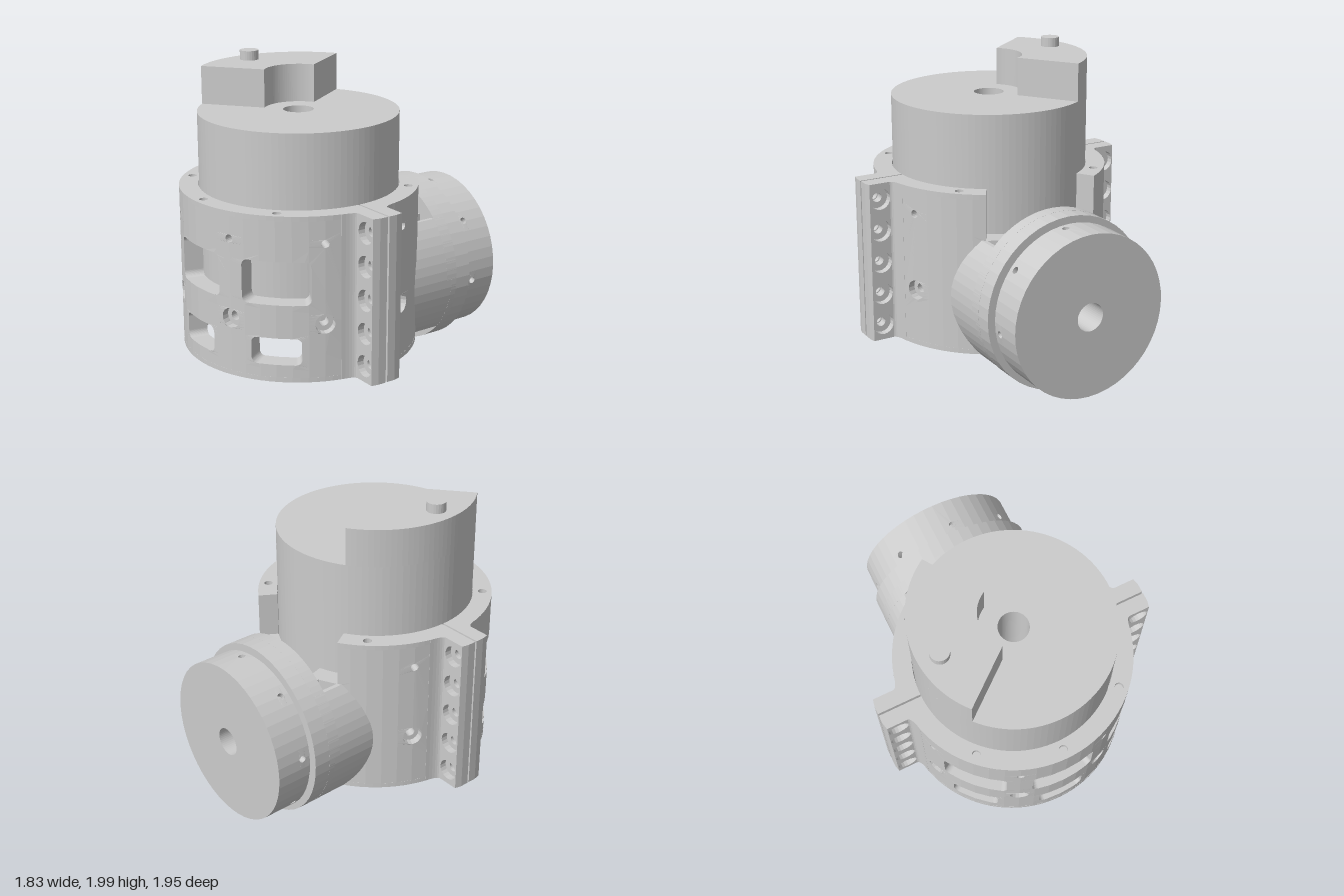
import * as THREE from 'three';

const grey = new THREE.MeshStandardMaterial({ color: 0xcccccc, flatShading: true });
const SEG = 48, STEP = (Math.PI * 2) / SEG, RAD = Math.PI / 180;
const C = 0.225;              // z of the vertical axis
const BY = 0.57;              // height of the horizontal axis

function add(parent, name, geometry) {
  const m = new THREE.Mesh(geometry, grey);
  m.name = name;
  parent.add(m);
  return m;
}

const circle = (x, y, r) => new THREE.Path().absarc(x, y, r, 0, Math.PI * 2);

function disc(r, holes = [], a0 = 0, a1 = Math.PI * 2, cy = 0) {
  const s = new THREE.Shape().absarc(0, cy, r, a0, a1);
  s.holes.push(...holes);
  return s;
}

function roundRect(cx, cy, w, h, r) {
  const p = new THREE.Path(), x = w / 2 - r, y = h / 2 - r;
  p.absarc(cx + x, cy + y, r, 0, Math.PI / 2);
  p.absarc(cx - x, cy + y, r, Math.PI / 2, Math.PI);
  p.absarc(cx - x, cy - y, r, Math.PI, Math.PI * 1.5);
  p.absarc(cx + x, cy - y, r, Math.PI * 1.5, Math.PI * 2);
  return p.closePath();
}

// Extrude along z between two depths
function slab(shape, z0, z1, curveSegments = SEG / 2) {
  return new THREE.ExtrudeGeometry(shape, { depth: z1 - z0, bevelEnabled: false, curveSegments })
    .translate(0, 0, z0);
}

// Extrude a plan outline (x, z) between two heights
function plan(shape, y0, y1, seg = SEG) {
  return slab(shape, 0, y1 - y0, seg).rotateX(Math.PI / 2).translate(0, y1, 0);
}

// Part of a ring seen in plan, with vertical bolt holes
function arcPlate(a0, a1, holeAngles) {
  const s = new THREE.Shape();
  s.absarc(0, 0, 0.75, a0, a1, false);
  s.absarc(0, 0, 0.63, a1, a0, true);
  for (const a of holeAngles) s.holes.push(circle(0.69 * Math.cos(a * RAD), 0.69 * Math.sin(a * RAD), 0.027));
  return s;
}

// Keep the part of a polygon where sign * (x - limit) >= 0
function clip(poly, limit, sign) {
  const out = [];
  poly.forEach((p, i) => {
    const q = poly[(i + 1) % poly.length];
    const dp = sign * (p.x - limit), dq = sign * (q.x - limit);
    if (dp >= 0) out.push(p);
    if ((dp > 0 && dq < 0) || (dp < 0 && dq > 0)) out.push(p.clone().lerp(q, dp / (dp - dq)));
  });
  return out;
}

// Slice a flat pierced wall into strips and roll it round the y axis
function bend(shape, R, t) {
  const pos = slab(shape, 0, t, 8).getAttribute('position'), out = [], du = STEP * R;
  for (let i = 0; i < pos.count; i += 3) {
    const tri = [0, 1, 2].map(k => new THREE.Vector3().fromBufferAttribute(pos, i + k));
    const xs = tri.map(p => p.x);
    const k0 = Math.floor(Math.min(...xs) / du + 1e-6);
    const k1 = Math.max(k0 + 1, Math.ceil(Math.max(...xs) / du - 1e-6));
    for (let k = k0; k < k1; k++) {
      let poly = k > k0 ? clip(tri, k * du, 1) : tri;
      if (k < k1 - 1) poly = clip(poly, (k + 1) * du, -1);
      for (let j = 1; j < poly.length - 1; j++)
        for (const p of [poly[0], poly[j], poly[j + 1]]) {
          const a = p.x / R, r = R - t + p.z;
          out.push(r * Math.sin(a), p.y, r * Math.cos(a));
        }
    }
  }
  const g = new THREE.BufferGeometry();
  g.setAttribute('position', new THREE.Float32BufferAttribute(out, 3));
  g.computeVertexNormals();
  return g;
}

function clampWall(back) {
  const R = 0.75, e = (Math.PI / 2 - 0.009) * R, lo = 0.23, hi = 1.21;
  const n = Math.asin(0.39 / R) * R, w = Math.asin(0.21 / R) * R;
  const outline = back
    ? [[-e, lo], [e, lo], [e, hi], [n, hi], [n, 0.95], [w, 0.95], [w, 0.69], [-w, 0.69], [-w, 0.95], [-n, 0.95], [-n, hi], [-e, hi]]
    : [[-e, lo], [e, lo], [e, hi], [-e, hi]];
  const s = new THREE.Shape(outline.map(p => new THREE.Vector2(...p)));
  for (const a of back ? [-67.5, 67.5] : [-67.5, -22.5, 22.5, 67.5])
    s.holes.push(circle(a * RAD * R, 1.07, 0.025), circle(a * RAD * R, BY, 0.062));
  if (!back) for (const a of [-45, 0, 45]) {
    s.holes.push(roundRect(a * RAD * R, 0.825, 2 * w, 0.27, 0.04));
    s.holes.push(roundRect(a * RAD * R, 0.395, 0.313, 0.17, 0.04));
  }
  const g = bend(s, R, 0.12);
  return back ? g.rotateY(Math.PI) : g;
}

// Bolted ear with counterbores, centred on its own mid height
function makeEar() {
  const ear = new THREE.Group();
  ear.name = 'clampEar';
  const layer = (r, z0, z1) => {
    const s = new THREE.Shape([[0.67, -0.52], [0.915, -0.52], [0.915, 0.52], [0.67, 0.52]].map(p => new THREE.Vector2(...p)));
    for (const y of [-0.417, -0.21, 0, 0.21, 0.417]) s.holes.push(circle(0.835, y, r));
    return slab(s, z0, z1, 10);
  };
  add(ear, 'earPlate', layer(0.03, 0.006, 0.06));
  const g = layer(0.068, 0.06, 0.105), p = g.getAttribute('position');
  for (let i = 0; i < p.count; i++) if (p.getX(i) > 0.914 && p.getZ(i) > 0.1) p.setX(i, 0.905);
  g.computeVertexNormals();
  add(ear, 'earCounterbores', g);
  const f = new THREE.Shape().moveTo(0.67, 0.09).lineTo(0.767, 0.09).lineTo(0.767, 0.105);
  f.quadraticCurveTo(0.74, 0.11, 0.725, 0.195);
  f.lineTo(0.67, 0.195);
  add(ear, 'earFillet', plan(f, -0.52, 0.52, 6));
  return ear;
}

// Horizontal socket: outline lofted from the clamp wall to the flange
function socketGeometry() {
  const pts = [], R = 0.56, top = 0.95, low = 0.2;
  const a0 = Math.asin((low - BY) / R), a1 = Math.asin((top - BY) / R);
  const half = [];      // right side, from bottom centre to top centre
  for (const x of [0, 0.07, 0.14, 0.21, 0.275]) half.push([x, low]);
  for (let i = 0; i <= 8; i++) half.push([0.33 - 0.055 * Math.cos(i * Math.PI / 8), 0.237 + 0.055 * Math.sin(i * Math.PI / 8)]);
  half.push([0.385, low]);
  for (let i = 0; i <= 14; i++) { const a = a0 + (a1 - a0) * i / 14; half.push([R * Math.cos(a), BY + R * Math.sin(a)]); }
  half.push([0.385, top]);
  for (let i = 0; i <= 8; i++) half.push([0.33 + 0.055 * Math.cos(i * Math.PI / 8), 0.9 - 0.055 * Math.sin(i * Math.PI / 8)]);
  for (const x of [0.275, 0.215, 0.21, 0.14, 0.07, 0]) half.push([x, top]);
  pts.push(...half, ...half.slice(1, -1).reverse().map(([x, y]) => [-x, y]));
  const out = [];
  const front = ([x, y]) => (y > 0.94 && Math.abs(x) < 0.212 ? -0.48 : C - Math.sqrt(0.49 - x * x));
  pts.forEach((p, i) => {
    const q = pts[(i + 1) % pts.length], b = -0.62;
    out.push(...p, b, ...q, b, ...q, front(q), ...p, b, ...q, front(q), ...p, front(p));
  });
  const g = new THREE.BufferGeometry();
  g.setAttribute('position', new THREE.Float32BufferAttribute(out, 3));
  g.computeVertexNormals();
  return g;
}

export function createModel() {
  const model = new THREE.Group();
  model.name = 'twinMotorBracket';

  // Upright motor with its stop sector and pin
  const upright = new THREE.Group();
  upright.name = 'uprightMotor';
  upright.position.z = C;
  model.add(upright);
  add(upright, 'motorBody', plan(disc(0.625, [circle(0, 0, 0.095)]), 0.5, 1.7));
  const o0 = Math.atan2(0.415, -0.47), o1 = Math.atan2(-0.525, -0.33) + Math.PI * 2;
  const i0 = Math.atan2(0.155, -0.15), i1 = Math.atan2(-0.185, -0.1) + Math.PI * 2;
  const sector = new THREE.Shape();
  sector.absarc(0, 0, 0.625, o0, o1, false);
  sector.absarc(0, 0, 0.213, i1, i0, true);
  add(upright, 'stopSector', plan(sector, 1.7, 1.94, 16));
  add(upright, 'stopPin', new THREE.CylinderGeometry(0.06, 0.06, 0.08, 24)).position.set(-0.49, 1.96, 0.045);

  // Split clamp round the upright motor
  const clamp = new THREE.Group();
  clamp.name = 'clamp';
  clamp.position.z = C;
  model.add(clamp);
  add(clamp, 'frontClampWall', clampWall(false));
  add(clamp, 'backClampWall', clampWall(true));
  const g = 0.009, halfRing = arcPlate(g, Math.PI - g, [45, 90, 135]);
  add(clamp, 'frontTopRim', plan(halfRing, 1.21, 1.24, 24));
  add(clamp, 'frontBottomRim', plan(halfRing, 0.2, 0.23, 24));
  add(clamp, 'backBottomRim', plan(halfRing, 0.2, 0.23, 24).rotateY(Math.PI));
  const cut = Math.acos(0.39 / 0.75);
  add(clamp, 'backTopRimRight', plan(arcPlate(g, cut, [45]), 1.21, 1.24, 10).rotateY(Math.PI));
  add(clamp, 'backTopRimLeft', plan(arcPlate(Math.PI - cut, Math.PI - g, [135]), 1.21, 1.24, 10).rotateY(Math.PI));
  for (const a of [-67.5, -22.5, 22.5, 67.5, 112.5, -112.5])
    add(clamp, 'radialScrew', slab(disc(0.062, [circle(0, 0, 0.03)]), 0.63, 0.7, 10)
      .translate(0, BY, 0).rotateY(a * RAD));
  for (const [rx, ry, rz] of [[0, 0, 0], [1, 0, 0], [0, 1, 0], [0, 0, 1]]) {
    const ear = makeEar();
    ear.position.y = 0.72;
    ear.rotation.set(rx * Math.PI, ry * Math.PI, rz * Math.PI);
    clamp.add(ear);
  }

  // Socket joining the clamp to the rear flange
  add(model, 'rearSocket', socketGeometry());
  add(model, 'pocketWall', new THREE.BoxGeometry(0.43, 0.255, 0.07)).position.set(0, 0.8175, -0.515);
  add(model, 'flange', slab(disc(0.56, [], 0, Math.PI * 2, BY), -0.73, -0.62));
  add(model, 'lowerFlange', slab(disc(0.56, [circle(0, 0.1, 0.055)], Math.PI, Math.PI * 2, BY), -0.62, -0.58));
  add(model, 'upperFlange', slab(disc(0.56, [circle(0, 1.04, 0.055)], 0, Math.PI, BY), -0.62, -0.54));
  for (const [y, z] of [[0.1, -0.585], [1.04, -0.545]])
    add(model, 'flangeBolt', slab(disc(0.055, [circle(0, y, 0.028)], 0, Math.PI * 2, y), -0.63, z, 10));

  // Rear motor with a pierced collar
  const rear = new THREE.Group();
  rear.name = 'rearMotor';
  rear.position.y = BY;
  model.add(rear);
  add(rear, 'rearMotorBody', slab(disc(0.48, [circle(0, 0, 0.09)]), -0.975, -0.73));
  add(rear, 'collarGroove', slab(disc(0.505, [circle(0, 0, 0.4)]), -0.75, -0.73));
  const L = Math.PI * 2 * 0.52;
  const strip = new THREE.Shape([[0, 0], [L, 0], [L, 0.23], [0, 0.23]].map(p => new THREE.Vector2(...p)));
  for (let k = 0; k < 8; k++) strip.holes.push(circle((7.2 + 45 * k) * RAD * 0.52, 0.05, 0.022));
  add(rear, 'collar', bend(strip, 0.52, 0.05).rotateX(-Math.PI / 2).translate(0, 0, -0.745));
  return model;
}
